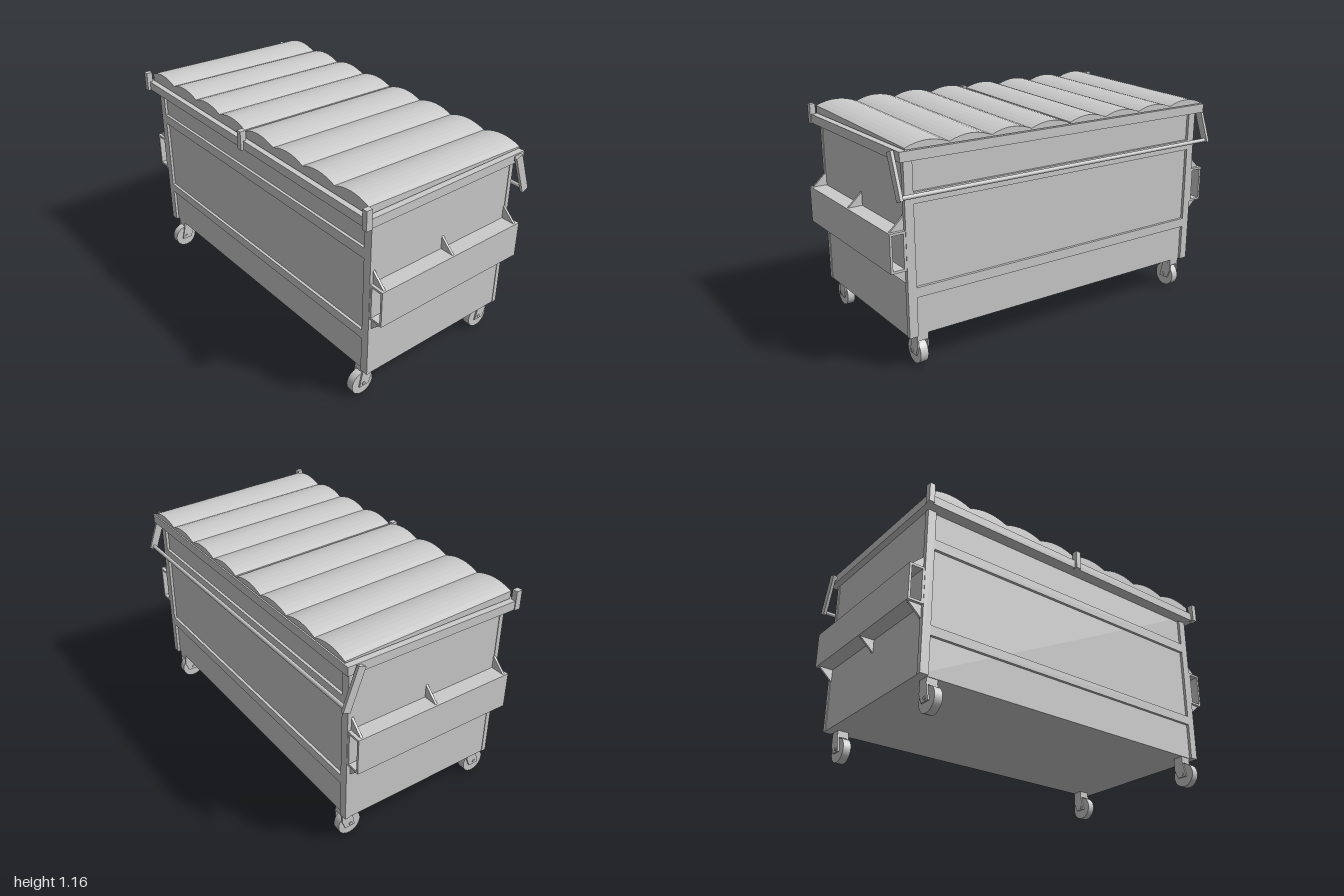
import * as THREE from 'three';

const material = new THREE.MeshStandardMaterial({ color: 0xcccccc });

export function createModel() {
  const root = new THREE.Group();
  root.name = 'wasteContainer';

  const add = (name, geometry, parent = root) => {
    const mesh = new THREE.Mesh(geometry, material);
    mesh.name = name;
    parent.add(mesh);
    return mesh;
  };
  // Box given by its limits on each axis
  const box = (name, [x0, x1], [y0, y1], [z0, z1], parent = root) => {
    const mesh = add(name, new THREE.BoxGeometry(x1 - x0, y1 - y0, z1 - z0), parent);
    mesh.position.set((x0 + x1) / 2, (y0 + y1) / 2, (z0 + z1) / 2);
    return mesh;
  };
  // Polygon extruded along z, centred on z = 0
  const plate = (points, depth) => {
    const shape = new THREE.Shape(points.map(([x, y]) => new THREE.Vector2(x, y)));
    return new THREE.ExtrudeGeometry(shape, { depth, bevelEnabled: false }).translate(0, 0, -depth / 2);
  };
  // Polygon in (z, y) extruded along x, centred on x = 0
  const sidePlate = (points, depth) =>
    plate(points.map(([z, y]) => [-z, y]), depth).rotateY(Math.PI / 2);

  // Body: recessed panels framed by corner posts and horizontal ribs
  box('body', [-0.915, 0.915], [0.17, 1.085], [-0.445, 0.45]);
  for (const [z0, z1] of [[0.44, 0.465], [-0.46, -0.435]]) {
    for (const s of [-1, 1]) {
      box('cornerPost', [s * 0.895 - 0.023, s * 0.895 + 0.023], [0.17, 1.04], [z0, z1]);
    }
    box('lowerRib', [-0.873, 0.873], [0.37, 0.42], [z0, z1]);
    box('upperRib', [-0.873, 0.873], [0.83, 0.885], [z0, z1]);
  }

  // Top rim and the three upright lid stops at the front
  box('frontRim', [-0.95, 0.95], [1.04, 1.088], [0.44, 0.515]);
  box('backRim', [-0.95, 0.95], [1.04, 1.088], [-0.49, -0.43]);
  for (const s of [-1, 1]) {
    box('sideRim', [s * 0.925 - 0.025, s * 0.925 + 0.025], [1.04, 1.088], [-0.49, 0.515]);
  }
  for (const x of [-0.94, 0, 0.94]) {
    box('lidStop', [x - 0.015, x + 0.015], [1.038, 1.142], [0.497, 0.53]);
  }

  // Two lids with four rounded corrugations each, sloping down to the back
  const humps = 4, steps = 8, lidWidth = 0.917;
  const lidProfile = [[0, 1.092]];
  for (let h = 0; h < humps; h++) {
    for (let i = h ? 1 : 0; i <= steps; i++) {
      const t = i / steps;
      lidProfile.push([(h + t) * lidWidth / humps, 1.133 + 0.024 * 4 * t * (1 - t)]);
    }
  }
  lidProfile.push([lidWidth, 1.092]);
  for (const x of [-0.922, 0.005]) {
    const geometry = plate(lidProfile, 0.976).translate(x, 0, 0.002);
    const p = geometry.attributes.position;
    for (let i = 0; i < p.count; i++) {
      if (p.getZ(i) < 0 && p.getY(i) > 1.1) p.setY(i, p.getY(i) - 0.032);
    }
    geometry.computeVertexNormals();
    add('lid', geometry);
  }

  // Side pockets for lifting forks, open at both ends, with gussets
  for (const s of [-1, 1]) {
    const pocket = new THREE.Group();
    pocket.name = s > 0 ? 'leftForkPocket' : 'rightForkPocket';
    root.add(pocket);
    const xs = (a, b) => (s > 0 ? [a, b] : [-b, -a]);
    const z = [-0.458, 0.463];
    box('pocketInnerPlate', xs(0.912, 0.93), [0.515, 0.71], z, pocket);
    box('pocketOuterPlate', xs(0.988, 1), [0.515, 0.71], z, pocket);
    box('pocketTop', xs(0.92, 0.99), [0.698, 0.71], z, pocket);
    box('pocketBottom', xs(0.92, 0.99), [0.515, 0.527], z, pocket);
    for (const gz of [-0.434, 0.004, 0.442]) {
      for (const [near, far] of [[0.71, 0.78], [0.515, 0.446]]) {
        const points = [[s * 0.91, near], [s * 0.99, near], [s * 0.915, far], [s * 0.91, far]];
        add('pocketGusset', plate(points, 0.012), pocket).position.z = gz;
      }
    }

    // Slanted arm carrying the rear bar
    const arm = [[-0.41, 1.075], [-0.45, 1.09], [-0.528, 0.876], [-0.489, 0.861]];
    add('hingeArm', sidePlate(arm, 0.016)).position.x = s * 0.965;
    box('hingePin', xs(0.93, 0.96), [1.055, 1.08], [-0.445, -0.42]);
  }
  const bar = add('rearBar', new THREE.CylinderGeometry(0.011, 0.011, 1.93, 12).rotateZ(Math.PI / 2));
  bar.position.set(0, 0.882, -0.503);

  // Casters: wheel, swivel block and trailing fork
  const forkLeg = [[0, 0.145], [-0.057, 0.145], [-0.057, 0.1], [-0.037, 0.052], [0.02, 0.052]];
  for (const x of [-0.84, 0.84]) {
    for (const z of [0.44, -0.391]) {
      const caster = new THREE.Group();
      caster.name = 'caster';
      caster.position.set(x, 0, z);
      root.add(caster);
      const wheel = new THREE.CylinderGeometry(0.065, 0.065, 0.042, 32).rotateZ(Math.PI / 2);
      add('wheel', wheel, caster).position.y = 0.065;
      const axle = new THREE.CylinderGeometry(0.01, 0.01, 0.07, 12).rotateZ(Math.PI / 2);
      add('axle', axle, caster).position.y = 0.068;
      box('swivelBlock', [-0.03, 0.03], [0.135, 0.172], [-0.051, 0.006], caster);
      for (const s of [-1, 1]) {
        const leg = add('forkLeg', sidePlate(forkLeg, 0.008), caster);
        leg.position.set(s * 0.027, 0, 0.006);
      }
    }
  }
  return root;
}
